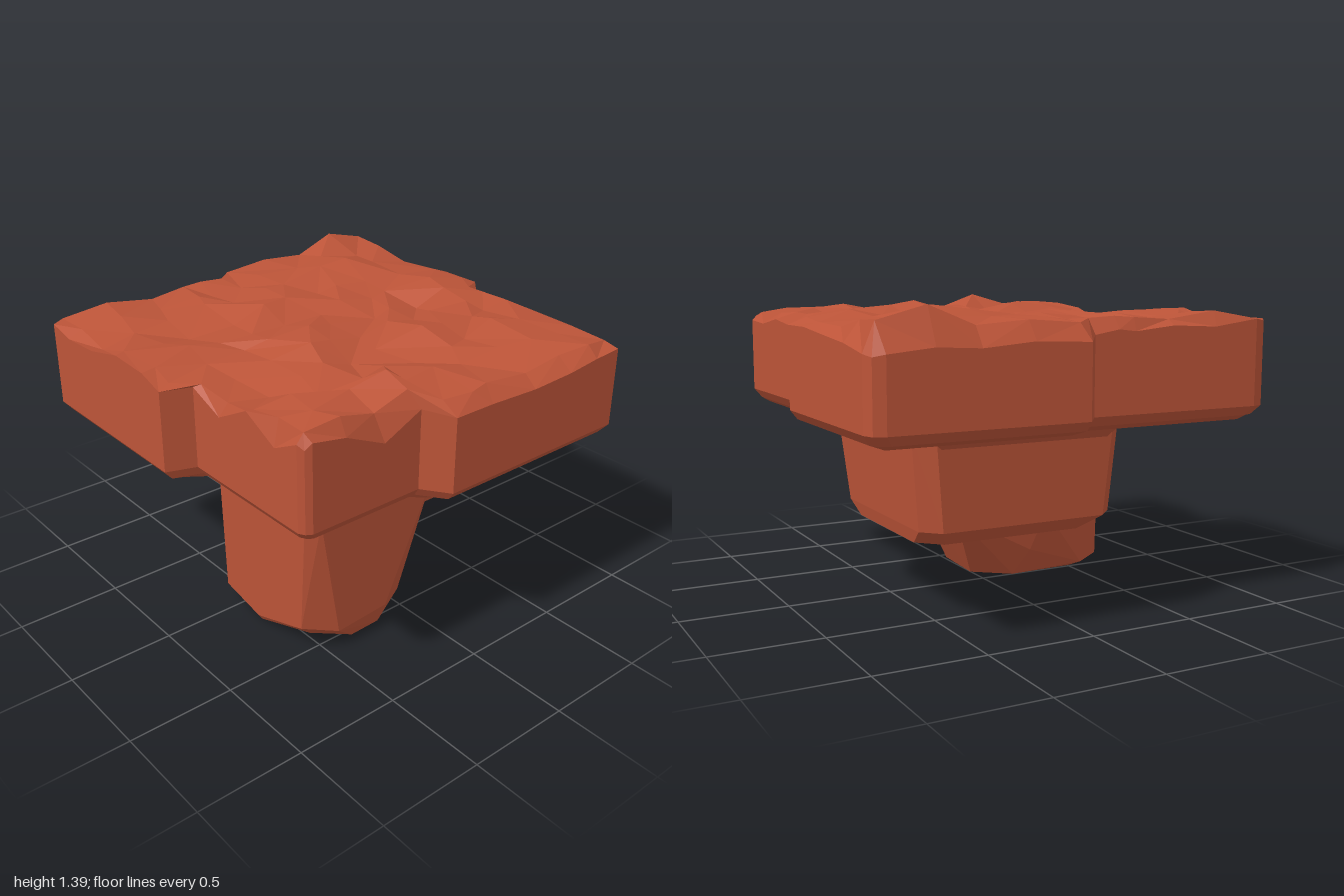
import * as THREE from 'three';
import { ConvexGeometry } from 'three/addons/geometries/ConvexGeometry.js';

const { lerp } = THREE.MathUtils;

// Repeatable noise in -1..1 for a grid cell
const noise = (i, j, k) => {
  const s = Math.sin(i * 127.1 + j * 311.7 + k * 74.7) * 43758.5453;
  return (s - Math.floor(s)) * 2 - 1;
};

// Grid lines where they meet the slab's rim; the close pairs sit on the steps in its outline
const XS = [-1, -0.94, -0.76, -0.52, -0.28, -0.05, 0.09, 0.14, 0.34, 0.55, 0.76, 0.94, 1];
const ZS = [-1, -0.94, -0.75, -0.55, -0.3, -0.02, 0.07, 0.2, 0.29, 0.5, 0.73, 0.94, 1];
const N = XS.length - 1;
const onRim = (i, j) => i === 0 || j === 0 || i === N || j === N;

// Rim heights along each side
const FRONT = [1.29, 1.3, 1.27, 1.28, 1.33, 1.32, 1.28, 1.28, 1.21, 1.31, 1.22, 1.29, 1.27];
const RIGHT = [1.25, 1.28, 1.27, 1.25, 1.24, 1.25, 1.25, 1.25, 1.27, 1.18, 1.27, 1.3, 1.27];
const BACK = [1.2, 1.21, 1.24, 1.26, 1.28, 1.28, 1.27, 1.27, 1.26, 1.28, 1.25, 1.26, 1.25];
const LEFT = [1.2, 1.21, 1.23, 1.22, 1.24, 1.23, 1.25, 1.27, 1.26, 1.28, 1.27, 1.3, 1.29];
const rimHeight = (i, j) => (j === N ? FRONT[i] : i === N ? RIGHT[j] : j === 0 ? BACK[i] : LEFT[j]);

// Evenly spaced lines used in the middle of the slab
const even = (i) => (i === 0 ? -1 : i === N ? 1 : lerp(-0.94, 0.94, (i - 1) / (N - 2)));

// Peaks and hollows in the rocky top: x, z, height
const PEAKS = [
  [-0.87, -0.73, 0.09], [-0.52, -0.47, 0.06], [0.12, 0.28, 0.07], [-0.4, 0.1, 0.06],
  [0.73, 0.36, 0.09], [0.73, 0.66, 0.06], [0.38, -0.2, 0.05], [-0.07, -0.72, 0.05],
  [-0.75, 0.7, 0.05], [0.6, -0.47, 0.06],
  [0.27, 0.7, -0.08], [-0.3, 0.5, -0.05], [0.03, -0.48, -0.05], [0.84, 0.5, -0.06],
  [-0.55, 0.88, -0.04], [0.4, 0.05, -0.04], [0.85, -0.25, -0.05],
];

// Plan position of a grid point, following the stepped outline near the rim
function plan(i, j, scale) {
  const x = lerp(even(i), XS[i], even(j) ** 4);
  const z = lerp(even(j), ZS[j], even(i) ** 4);
  const sideX = x < 0 ? (z < 0 ? 0.99 : 0.88) : (z < 0.25 ? 0.99 : 0.87);
  const sideZ = z < 0 ? (x < 0 ? 0.985 : 0.865) : (x < 0.1 ? 1 : 0.865);
  // Clip the four outer corners
  const corner = Math.abs(x) === 1 && Math.abs(z) === 1 ? 0.982 : 1;
  const s = scale * corner;
  return [x * lerp(0.93, sideX, Math.abs(x) ** 3) * s, z * lerp(0.93, sideZ, Math.abs(z) ** 3) * s];
}

function topPoint(i, j) {
  let [x, z] = plan(i, j, 1);
  if (onRim(i, j)) return [x, rimHeight(i, j), z];
  const inner = i > 1 && j > 1 && i < N - 1 && j < N - 1;
  x += noise(i, j, 2) * (inner ? 0.045 : 0.015);
  z += noise(i, j, 3) * (inner ? 0.045 : 0.015);
  let y = 1.31 + noise(i, j, 4) * 0.02;
  for (const [px, pz, h] of PEAKS) {
    y += h * Math.exp(-((x - px) ** 2 + (z - pz) ** 2) / 0.02);
  }
  return [x, Math.min(y, 1.395), z];
}

function slabGeometry() {
  const pos = [];
  const quad = (a, b, c, d, flip) => {
    if (flip) pos.push(...a, ...b, ...d, ...b, ...c, ...d);
    else pos.push(...a, ...b, ...c, ...a, ...c, ...d);
  };
  const under = (i, j) => {
    const [x, z] = plan(i, j, 0.965);
    return [x, onRim(i, j) ? 0.862 : 0.838, z];
  };
  // Rough top and flat underside
  for (let i = 0; i < N; i++) {
    for (let j = 0; j < N; j++) {
      quad(topPoint(i, j), topPoint(i, j + 1), topPoint(i + 1, j + 1), topPoint(i + 1, j), noise(i, j, 5) > 0);
      quad(under(i, j), under(i + 1, j), under(i + 1, j + 1), under(i, j + 1));
    }
  }
  // Walls with a bevelled lower edge
  const loop = [];
  for (let k = 0; k < N; k++) loop.push([0, k]);
  for (let k = 0; k < N; k++) loop.push([k, N]);
  for (let k = N; k > 0; k--) loop.push([N, k]);
  for (let k = N; k > 0; k--) loop.push([k, 0]);
  const wall = ([i, j]) => {
    const [x, z] = plan(i, j, 1);
    return [x, 0.905, z];
  };
  loop.forEach((p, k) => {
    const q = loop[(k + 1) % loop.length];
    quad(wall(p), wall(q), topPoint(...q), topPoint(...p));
    quad(under(...p), under(...q), wall(q), wall(p));
  });
  const g = new THREE.BufferGeometry();
  g.setAttribute('position', new THREE.Float32BufferAttribute(pos, 3));
  g.computeVertexNormals();
  return g;
}

const hull = (points) => new ConvexGeometry(points.map((p) => new THREE.Vector3(...p)));

// Rectangle with clipped corners at one height
function ring(y, x0, x1, z0, z1, c) {
  return [
    [x0 + c, y, z0], [x1 - c, y, z0], [x1, y, z0 + c], [x1, y, z1 - c],
    [x1 - c, y, z1], [x0 + c, y, z1], [x0, y, z1 - c], [x0, y, z0 + c],
  ];
}

export function createModel() {
  const group = new THREE.Group();
  const clay = new THREE.MeshStandardMaterial({ color: 0xbc5438 });
  clay.name = 'red clay';
  const add = (name, geometry) => {
    const mesh = new THREE.Mesh(geometry, clay);
    mesh.name = name;
    group.add(mesh);
  };

  add('rockSlab', slabGeometry());

  // Long tapering pillar with a sloping back
  add('mainPillar', hull([
    [0.0, 0.005, 0.5], [0.17, 0, 0.585], [0.4, 0, 0.48], [0.54, 0.005, 0.34], [0.54, 0.01, 0.18],
    [0.42, 0.01, 0.0], [0.12, 0.005, -0.01], [-0.03, 0.01, 0.15],
    [-0.11, 0.05, 0.5], [-0.08, 0.08, 0.605], [0.17, 0.03, 0.605], [0.5, 0.14, 0.605],
    [0.58, 0.1, 0.45], [0.58, 0.12, 0.17], [0.5, 0.1, 0.02], [-0.12, 0.15, 0.2],
    [-0.19, 0.35, 0.25], [-0.1, 0.36, -0.2], [0.35, 0.36, -0.19],
    ...ring(0.73, -0.125, 0.605, -0.13, 0.62, 0.05),
    ...ring(0.85, -0.13, 0.61, -0.15, 0.625, 0.05),
  ]));
  add('mainPillarCollar', hull([
    ...ring(0.76, -0.12, 0.605, -0.12, 0.615, 0.06),
    ...ring(0.835, -0.22, 0.65, -0.15, 0.68, 0.08),
    ...ring(0.85, -0.24, 0.66, -0.16, 0.7, 0.08),
  ]));

  // Shorter, wider block behind it
  add('rearBlock', hull([
    ...ring(0.345, -0.54, 0.28, -0.57, 0.3, 0.1),
    ...ring(0.41, -0.605, 0.36, -0.585, 0.38, 0.08),
    ...ring(0.85, -0.635, 0.4, -0.63, 0.41, 0.08),
  ]));
  add('rearBlockCollar', hull([
    ...ring(0.77, -0.625, 0.36, -0.62, 0.4, 0.1),
    ...ring(0.85, -0.69, 0.4, -0.68, 0.46, 0.12),
  ]));

  return group;
}
